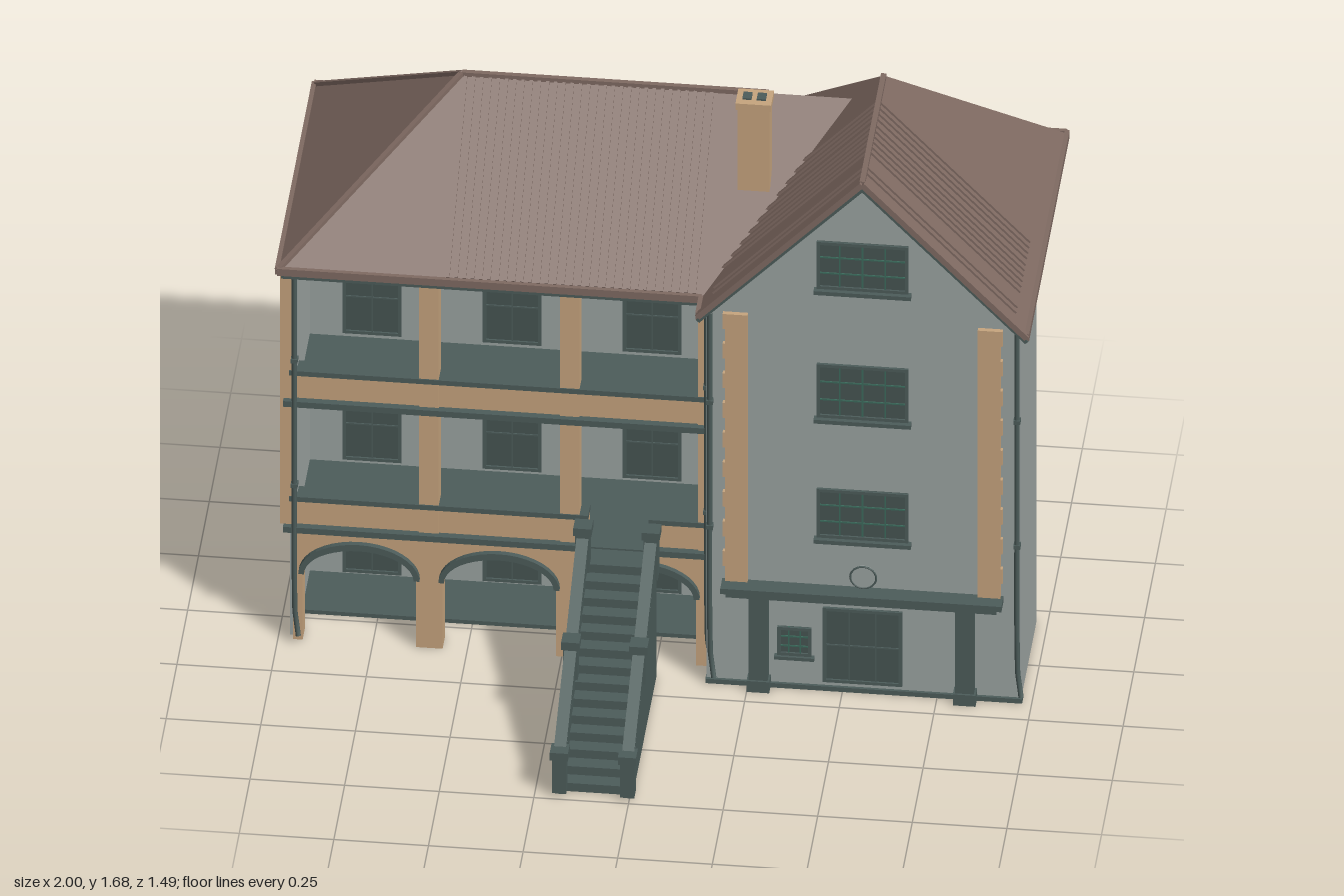
import * as THREE from 'three';

const mat = (name, color, side = THREE.FrontSide) => {
  const m = new THREE.MeshStandardMaterial({ color, side });
  m.name = name;
  return m;
};

export function createModel() {
  const root = new THREE.Group();
  root.name = 'house';
  const wall = mat('greyPlaster', 0x9ba3a1);
  const tan = mat('sandstone', 0xc6a47e);
  const teal = mat('darkTeal', 0x4c5c5a);
  const glass = mat('darkGlass', 0x465452);
  const green = mat('greenBars', 0x3c6a5c);
  const roof = mat('brownRoof', 0x7f6a62, THREE.DoubleSide);

  const add = (name, geo, m) => {
    const mesh = new THREE.Mesh(geo, m);
    mesh.name = name;
    root.add(mesh);
    return mesh;
  };
  // box from its low and high limits on each axis
  const box = (name, m, x0, x1, y0, y1, z0, z1) => {
    const b = add(name, new THREE.BoxGeometry(x1 - x0, y1 - y0, z1 - z0), m);
    b.position.set((x0 + x1) / 2, (y0 + y1) / 2, (z0 + z1) / 2);
    return b;
  };
  // square bar between two points
  const beam = (name, m, a, b, w, h = w) => {
    const p = new THREE.Vector3(...a), q = new THREE.Vector3(...b);
    const mesh = add(name, new THREE.BoxGeometry(w, h, p.distanceTo(q)), m);
    mesh.position.copy(p).add(q).multiplyScalar(0.5);
    mesh.lookAt(q);
  };
  // flat convex panel from its corners
  const panel = (name, m, ...pts) => {
    const v = [];
    for (let i = 1; i < pts.length - 1; i++) v.push(...pts[0], ...pts[i], ...pts[i + 1]);
    const g = new THREE.BufferGeometry();
    g.setAttribute('position', new THREE.Float32BufferAttribute(v, 3));
    g.computeVertexNormals();
    add(name, g, m);
  };
  const shapeOf = pts => new THREE.Shape(pts.map(p => new THREE.Vector2(...p)));
  const extrude = (s, depth) =>
    new THREE.ExtrudeGeometry(s, { depth, bevelEnabled: false, curveSegments: 16 });

  // window or door through a wall, with frame and bars on both faces
  const opening = (name, x, y0, w, h, z0, z1, nx, ny, bars) => {
    const l = x - w / 2, r = x + w / 2, t = y0 + h, f = 0.009;
    box(name + 'Pane', glass, l, r, y0, t, z0 - 0.003, z1 + 0.003);
    for (const e of [l, r - f]) box(name + 'Frame', teal, e, e + f, y0, t, z0 - 0.008, z1 + 0.008);
    for (const e of [y0, t - f]) box(name + 'Frame', teal, l, r, e, e + f, z0 - 0.008, z1 + 0.008);
    for (let i = 1; i < nx; i++) {
      const c = l + (w * i) / nx;
      box(name + 'Bar', bars, c - 0.002, c + 0.002, y0, t, z0 - 0.006, z1 + 0.006);
    }
    for (let i = 1; i < ny; i++) {
      const c = y0 + (h * i) / ny;
      box(name + 'Bar', bars, l, r, c - 0.002, c + 0.002, z0 - 0.006, z1 + 0.006);
    }
  };

  // ---- Loggia wing ----
  box('backWall', wall, -0.97, 0.15, 0, 1.19, -0.22, -0.2);
  box('sideWall', wall, -0.97, -0.95, 0, 1.18, -0.22, 0.08);
  box('groundFloor', teal, -0.97, 0.14, 0, 0.012, -0.22, -0.02);
  const bays = [-0.785, -0.415, -0.045];
  for (const x of bays) {
    opening('groundDoor', x, 0.02, 0.155, 0.228, -0.22, -0.2, 2, 2, teal);
    opening('middleDoor', x, 0.38, 0.155, 0.23, -0.22, -0.2, 2, 2, teal);
    opening('upperDoor', x, 0.785, 0.155, 0.235, -0.22, -0.2, 2, 2, teal);
  }
  box('ceiling', teal, -0.97, 0.14, 1.165, 1.18, -0.2, 0.1);

  // arcade front with three elliptical openings down to the ground
  const pts = [[-0.96, 0.36], [-0.96, 0]];
  for (const c of bays) {
    pts.push([c - 0.15, 0]);
    for (let i = 0; i <= 16; i++) {
      const a = Math.PI * (1 - i / 16);
      pts.push([c + 0.15 * Math.cos(a), 0.215 + 0.09 * Math.sin(a)]);
    }
    pts.push([c + 0.15, 0]);
  }
  pts.push([0.14, 0], [0.14, 0.36]);
  add('arcade', extrude(shapeOf(pts), 0.06), tan).position.z = 0.04;
  for (const c of bays) {
    const rim = [];
    for (let i = 0; i <= 20; i++) {
      const a = Math.PI * (1 - i / 20);
      rim.push([c + 0.16 * Math.cos(a), 0.22 + 0.105 * Math.sin(a)]);
    }
    for (let i = 20; i >= 0; i--) {
      const a = Math.PI * (1 - i / 20);
      rim.push([c + 0.145 * Math.cos(a), 0.22 + 0.085 * Math.sin(a)]);
    }
    add('archRim', extrude(shapeOf(rim), 0.025), teal).position.z = 0.09;
  }

  // balcony floors, parapets and rails
  const balcony = (y, gap) => {
    box('balconyFloor', teal, -0.96, 0.14, y - 0.01, y + 0.008, -0.2, 0.1);
    box('balconyBand', teal, -0.985, 0.145, y - 0.008, y + 0.01, 0.09, 0.118);
    box('sideBand', teal, -0.985, -0.96, y - 0.008, y + 0.01, 0.03, 0.1);
    for (const [a, b] of gap ? [[-0.97, -0.18], [-0.02, 0.14]] : [[-0.97, 0.14]]) {
      box('parapet', tan, a, b, y + 0.01, y + 0.085, 0.06, 0.098);
      box('parapetRail', teal, a, b, y + 0.085, y + 0.1, 0.055, 0.106);
    }
  };
  balcony(0.36, true);
  balcony(0.763, false);
  for (const [a, b] of [[-0.995, -0.955], [-0.627, -0.575], [-0.255, -0.203], [0.11, 0.145]])
    box('loggiaPillar', tan, a, b, 0.37, 1.17, 0.055, 0.103);

  // ---- Gabled wing ----
  const gable = shapeOf([[0.14, 0], [0.97, 0], [0.97, 1.2], [0.555, 1.63], [0.14, 1.2]]);
  add('gableWall', extrude(gable, 0.02), wall).position.z = 0.15;
  box('rightWall', wall, 0.95, 0.97, 0, 1.2, -0.2, 0.16);
  box('leftReturn', wall, 0.14, 0.155, 0, 1.2, 0.09, 0.16);
  box('plinth', teal, 0.138, 0.975, 0, 0.014, 0.15, 0.178);
  for (const [y, h] of [[1.287, 0.15], [0.875, 0.17], [0.49, 0.155]]) {
    opening('gableWindow', 0.553, y, 0.242, h, 0.15, 0.17, 4, 3, green);
    box('windowSill', teal, 0.425, 0.682, y - 0.012, y, 0.165, 0.19);
  }
  opening('smallWindow', 0.373, 0.105, 0.09, 0.09, 0.15, 0.17, 3, 3, green);
  box('windowSill', teal, 0.32, 0.426, 0.095, 0.105, 0.165, 0.185);
  opening('entranceDoor', 0.553, 0.028, 0.21, 0.237, 0.15, 0.17, 3, 2, teal);
  for (const x of [0.28, 0.825]) {
    box('entrancePillar', teal, x - 0.025, x + 0.025, 0.014, 0.305, 0.165, 0.2);
    box('pillarFoot', teal, x - 0.03, x + 0.03, 0.0, 0.035, 0.165, 0.206);
  }
  box('corniceLower', teal, 0.195, 0.91, 0.3, 0.318, 0.165, 0.208);
  box('corniceUpper', teal, 0.182, 0.925, 0.318, 0.335, 0.165, 0.22);
  // corner stones of alternating width
  for (let i = 0; i < 18; i++) {
    const y = 0.335 + i * 0.0475, j = i % 2 ? 0.006 : 0;
    box('cornerStone', tan, 0.19 - j, 0.25, y, y + 0.0475, 0.165, 0.183);
    box('cornerStone', tan, 0.858, 0.918 + j, y, y + 0.0475, 0.165, 0.183);
  }
  // round plaque
  const disc = add('plaque', new THREE.CylinderGeometry(0.034, 0.034, 0.008, 24), wall);
  disc.rotation.x = Math.PI / 2;
  disc.position.set(0.555, 0.37, 0.173);
  add('plaqueRim', new THREE.TorusGeometry(0.034, 0.003, 6, 24), teal).position.set(0.555, 0.37, 0.176);

  // ---- Roofs ----
  const E = 1.19, A = [-1, E, 0.12], B = [-1, E, -0.74], V = [0.12, E, 0.12], W = [0.12, E, -0.74];
  const R1 = [-0.56, 1.56, -0.31], R2 = [0.47, 1.56, -0.31];
  panel('mainRoofFront', roof, A, V, R2, R1);
  panel('mainRoofBack', roof, W, B, R1, R2);
  panel('mainRoofHip', roof, B, A, R1);
  const G = [0.555, 1.648, 0.2], H = [0.555, 1.648, -0.3];
  const gl = [0.12, E, 0.2], gr = [0.99, E, 0.2], C = [0.99, E, -0.74];
  panel('gableRoofLeft', roof, W, gl, G, H);
  panel('gableRoofRight', roof, gr, C, H, G);
  panel('gableRoofBack', roof, C, W, H);
  for (const [a, b] of [[A, R1], [B, R1], [R1, [0.25, 1.56, -0.31]], [G, H]]) beam('ridgeCap', roof, a, b, 0.014);
  for (const [a, b] of [[A, B], [B, C], [C, gr], [gl, V], [A, V]]) beam('eave', roof, a, b, 0.012, 0.022);
  box('gutter', teal, -0.99, 0.13, 1.168, 1.182, 0.1, 0.122);
  for (const e of [gl, gr]) {
    beam('bargeBoard', roof, e, G, 0.016, 0.016);
    beam('bargeTrim', teal, [e[0], e[1] - 0.016, 0.194], [G[0], G[1] - 0.018, 0.194], 0.016, 0.012);
  }
  // seams on the front slope and on both gable slopes
  for (let i = 0; i < 31; i++) {
    const x = -0.55 + i * 0.0217;
    beam('roofSeam', roof, [x, 1.2, 0.112], [x, 1.556, -0.303], 0.009, 0.008);
  }
  for (const z of [-0.18, -0.155, -0.13, -0.105, -0.075, -0.05, -0.025, 0, 0.025, 0.05, 0.12, 0.145]) {
    beam('gableSeam', roof, [0.955, 1.229, z], [0.56, 1.645, z], 0.008);
    beam('gableSeam', roof, [0.155, 1.229, z], [0.55, 1.645, z], 0.008);
  }

  // ---- Chimney ----
  box('chimney', tan, 0.192, 0.276, 1.395, 1.66, -0.155, -0.095);
  box('chimneyCap', tan, 0.187, 0.281, 1.655, 1.675, -0.16, -0.09);
  for (const x of [0.215, 0.253]) box('flue', teal, x - 0.012, x + 0.012, 1.67, 1.68, -0.14, -0.11);

  // ---- Drainpipes ----
  for (const [x, z] of [[-0.955, 0.115], [0.135, 0.115], [0.15, 0.18], [0.962, 0.18]]) {
    const path = new THREE.CatmullRomCurve3([[0, 1.19, 0], [0, 0.7, 0], [0, 0.2, 0], [0.004, 0.06, 0], [0.012, 0.03, 0.012]]
      .map(p => new THREE.Vector3(x + p[0], p[1], z + p[2])));
    add('drainpipe', new THREE.TubeGeometry(path, 16, 0.007, 8), teal);
    for (const y of [0.5, 0.9]) box('pipeClip', teal, x - 0.009, x + 0.009, y, y + 0.012, z - 0.012, z + 0.009);
  }

  // ---- Outside stair ----
  const n = 14, z0 = 0.71, dz = 0.56 / n;
  const steps = [[z0, 0]];
  for (let i = 0; i < n; i++) {
    const y = 0.365 * (i + 1) / n;
    steps.push([z0 - i * dz, y], [z0 - (i + 1) * dz, y]);
  }
  steps.push([0.1, 0.365], [0.1, 0.34], [0.15, 0.34], [0.15, 0]);
  const flight = add('stairSteps', extrude(shapeOf(steps), 0.16), teal);
  flight.rotation.y = -Math.PI / 2;
  flight.position.x = -0.015;
  // side walls with slots following the slope
  const top = z => 0.13 + (0.72 - z) * 0.59;
  for (const x of [0.007, -0.173]) {
    const s = shapeOf([[0.725, 0], [0.725, 0.13], [0.18, top(0.18)], [0.12, top(0.18)], [0.12, 0.33], [0.165, 0.3], [0.165, 0]]);
    for (const z of [0.645, 0.55, 0.375, 0.295]) {
      const a = z - 0.016, b = z + 0.016;
      s.holes.push(new THREE.Path([[a, top(a) - 0.055], [b, top(b) - 0.055], [b, top(b) - 0.03], [a, top(a) - 0.03]]
        .map(p => new THREE.Vector2(...p))));
    }
    const side = add('stairSide', extrude(s, 0.024), teal);
    side.rotation.y = -Math.PI / 2;
    side.position.x = x;
    const c = x - 0.012;
    beam('handrail', teal, [c, top(0.72), 0.72], [c, top(0.18), 0.18], 0.032, 0.012);
    for (const [z, a, b] of [[0.72, 0.01, 0.13], [0.455, 0.19, 0.3], [0.175, 0.33, 0.47]]) {
      box('stairPost', teal, c - 0.019, c + 0.019, a, b, z - 0.018, z + 0.018);
      box('postCap', teal, c - 0.024, c + 0.024, b - 0.012, b + 0.012, z - 0.023, z + 0.023);
    }
  }
  return root;
}
